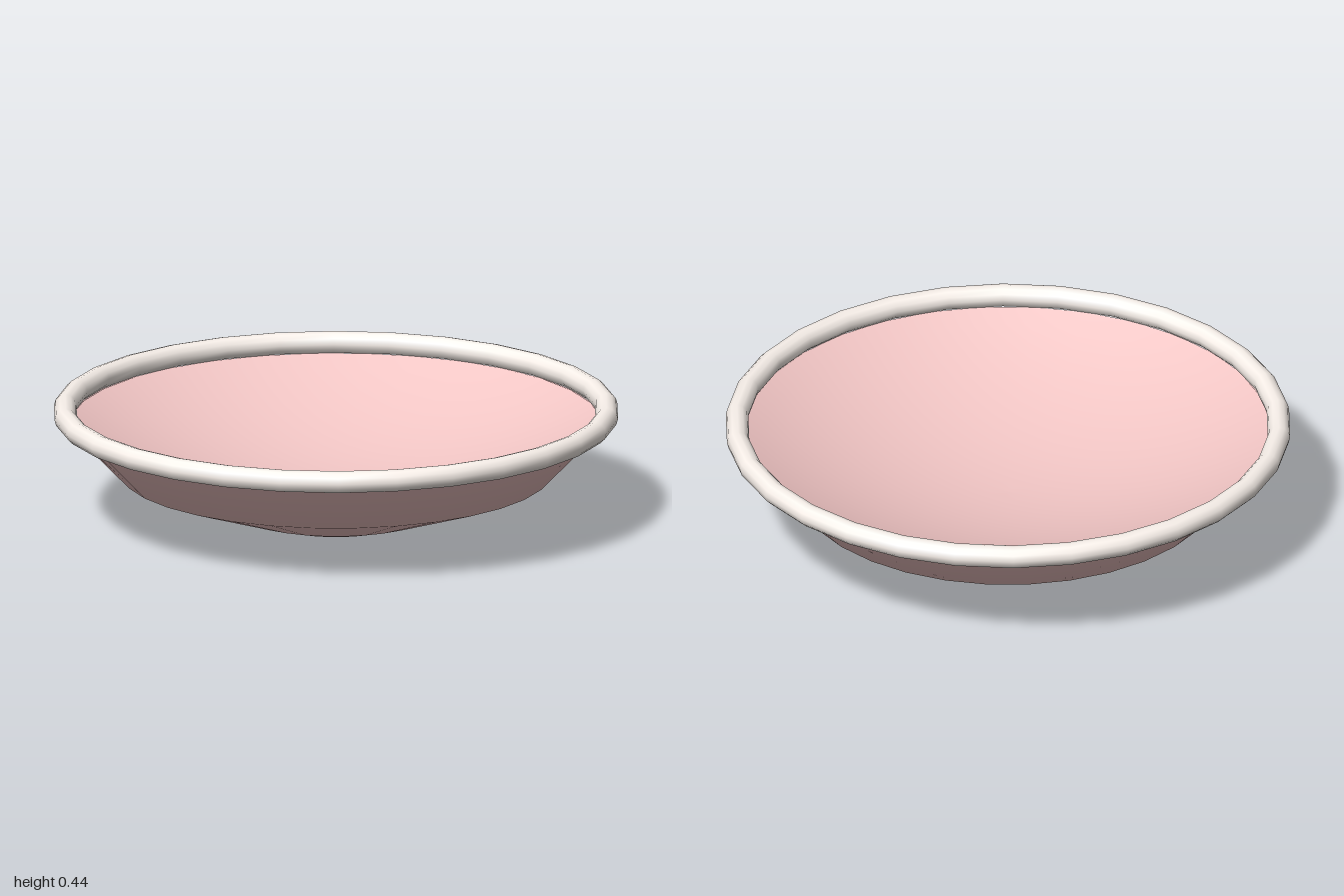
import * as THREE from 'three';

const material = (color, side = THREE.FrontSide) =>
  new THREE.MeshStandardMaterial({ color, side });

// Horizontal ring lying around the y axis
function ring(name, radius, tube, y, sides, segments, mat) {
  const geometry = new THREE.TorusGeometry(radius, tube, sides, segments);
  geometry.rotateX(Math.PI / 2);
  const mesh = new THREE.Mesh(geometry, mat);
  mesh.name = name;
  mesh.position.y = y;
  return mesh;
}

// Surface turned around the y axis from [radius, height] pairs
function turned(name, pairs, mat) {
  const points = pairs.map(([x, y]) => new THREE.Vector2(x, y));
  const mesh = new THREE.Mesh(new THREE.LatheGeometry(points, 32), mat);
  mesh.name = name;
  return mesh;
}

export function createModel() {
  const group = new THREE.Group();
  group.name = 'bowl';
  const pink = material(0xf2c6c5, THREE.DoubleSide);

  // Outer wall, from the base centre up into the rim
  group.add(turned('outerWall', [
    [0, 0.008], [0.24, 0.012], [0.36, 0.036], [0.76, 0.172], [0.94, 0.36],
  ], pink));

  // Gently curved inside, from the rim down to the raised floor
  const floor = 0.13, edgeRadius = 0.935, edgeHeight = 0.36, steps = 14;
  const inside = [];
  for (let i = steps; i >= 0; i--) {
    const t = i / steps;
    inside.push([edgeRadius * t, floor + (edgeHeight - floor) * t * t]);
  }
  group.add(turned('innerBasin', inside, pink));

  // Rounded rim and the small foot ring underneath
  group.add(ring('rim', 0.96, 0.04, 0.395, 12, 30, material(0xf8f0ea)));
  const foot = ring('footRing', 0.23, 0.02, 0.01, 8, 32, pink);
  foot.scale.y = 0.5;
  group.add(foot);

  return group;
}
